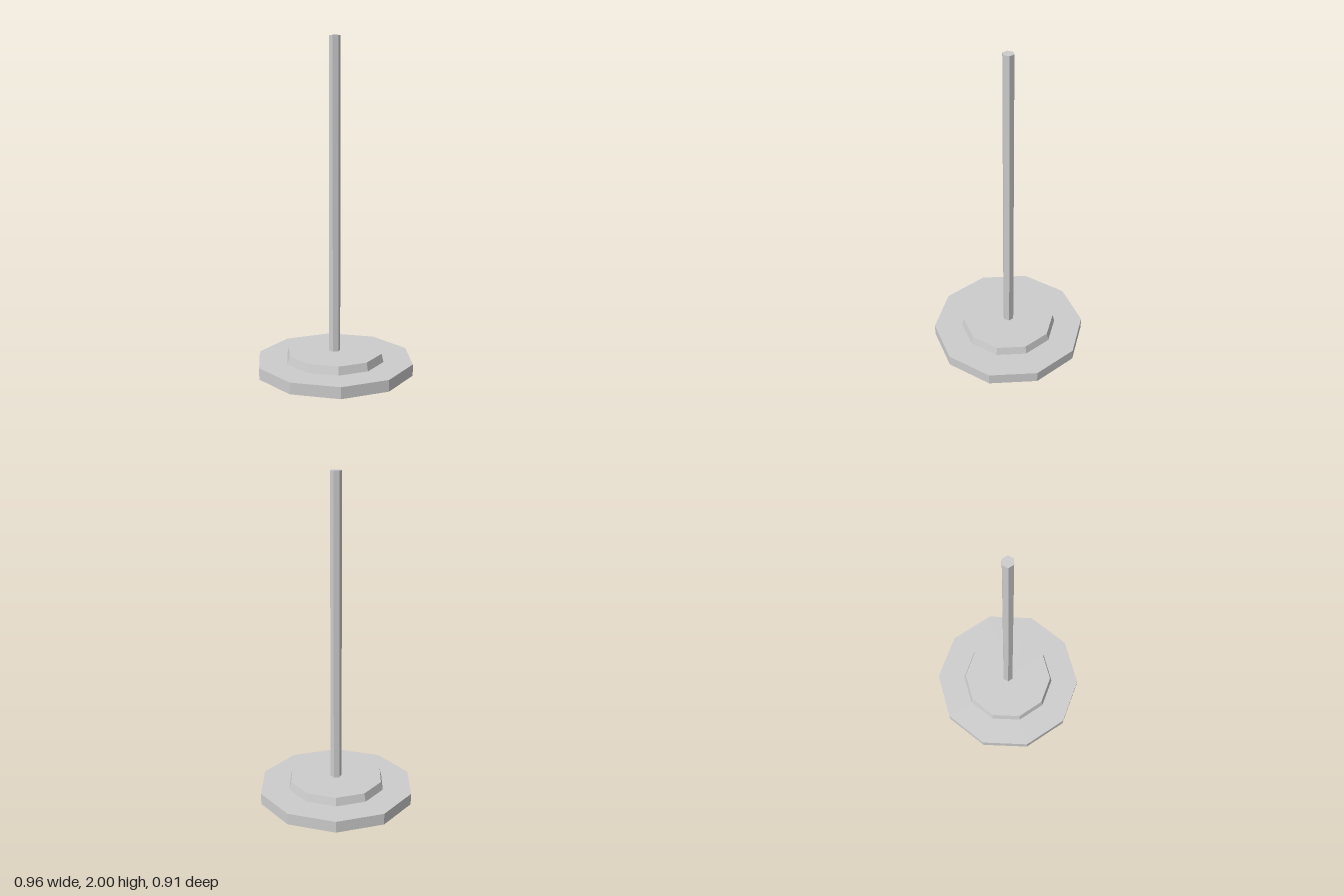
import * as THREE from 'three';

export function createModel() {
  const group = new THREE.Group();
  group.name = 'poleStand';

  const grey = new THREE.MeshStandardMaterial({ color: 0xcccccc, flatShading: true });
  grey.name = 'light grey';

  // Upright faceted drum from y0 to y1, with corners on the x axis
  function addPrism(name, topRadius, bottomRadius, y0, y1, sides) {
    const geometry = new THREE.CylinderGeometry(
      topRadius, bottomRadius, y1 - y0, sides, 1, false, Math.PI / 2);
    geometry.translate(0, (y0 + y1) / 2, 0);
    const mesh = new THREE.Mesh(geometry, grey);
    mesh.name = name;
    group.add(mesh);
  }

  // Ten-sided foot plate, tapered step on it, and hexagonal pole
  addPrism('basePlate', 0.48, 0.48, 0, 0.07, 10);
  addPrism('baseStep', 0.29, 0.302, 0.07, 0.12, 10);
  addPrism('pole', 0.034, 0.034, 0.12, 2, 6);

  return group;
}
